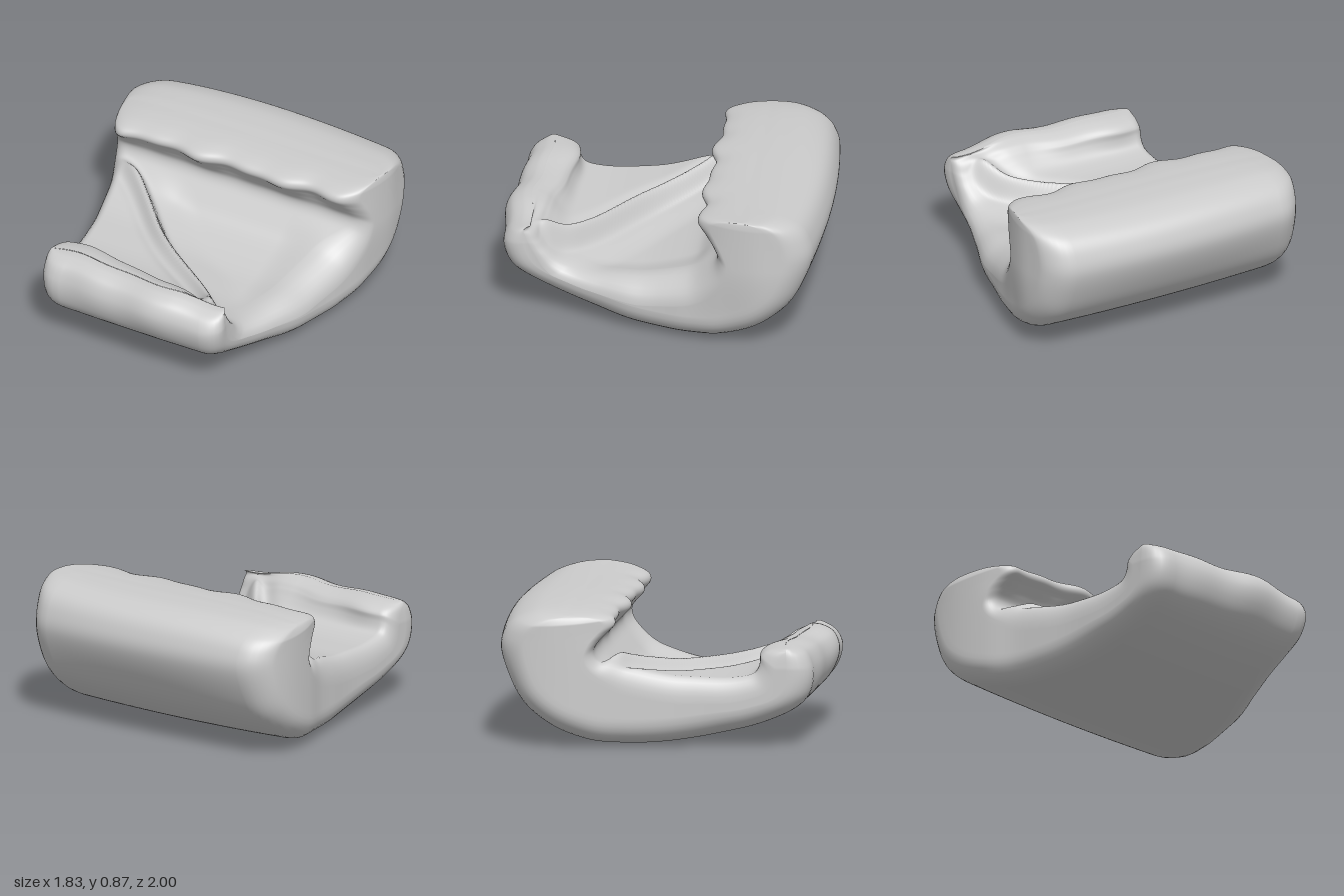
import * as THREE from 'three';

// Thick padded sheet curled in a C: paired outer / inner points (z, y) from front lip to back roll
const OUTER = [
  [.82, .622], [.88, .615], [.95, .575], [.985, .49], [.97, .39], [.91, .29], [.79, .2], [.6, .12], [.4, .07],
  [.2, .03], [0, .006], [-.2, .002], [-.4, .025], [-.62, .11], [-.8, .25], [-.92, .42], [-.99, .59],
  [-.975, .71], [-.91, .8], [-.78, .85], [-.62, .862], [-.52, .86],
];
const INNER = [
  [.82, .622], [.78, .61], [.73, .57], [.7, .5], [.67, .43], [.61, .37], [.52, .345], [.4, .335], [.25, .34],
  [.1, .35], [-.05, .38], [-.18, .42], [-.28, .48], [-.35, .54], [-.365, .6], [-.325, .66], [-.265, .72],
  [-.215, .775], [-.23, .82], [-.31, .845], [-.43, .857], [-.52, .86],
];
// Side outlines: half widths at z = -1, -0.8 ... 1
const RIGHT_EDGE = [.89, .915, .915, .88, .815, .775, .74, .72, .705, .7, .7];
const LEFT_EDGE = [.88, .9, .915, .88, .815, .76, .715, .64, .575, .555, .6];

const { smoothstep, clamp, lerp } = THREE.MathUtils;
const bump = (d, w) => Math.exp(-(d * d) / (w * w));

function spline(points) {
  return new THREE.SplineCurve(points.map(p => new THREE.Vector2(p[0], p[1])));
}

function edgeCurve(values) {
  const curve = spline(values.map((v, i) => [i, v]));
  return z => curve.getPoint(clamp((z + 1) / 2, 0, 1)).y;
}

// One trip round the cross-section: outer face, left wall, inner face, right wall.
// s = place across, inset / drop = corner rounding as a share of the radius, wall = share of the way up a side
function sectionLoop(flat, arc, walls) {
  const loop = [];
  for (const face of [0, 1]) {
    const dir = face ? -1 : 1;
    const corner = (side, k) => {
      const a = (k / arc) * Math.PI / 2;
      loop.push({ face, s: side, inset: 1 - Math.sin(a), drop: 1 - Math.cos(a) });
    };
    for (let k = arc; k >= 0; k--) corner(-dir, k);
    for (let k = 1; k < flat; k++) loop.push({ face, s: dir * (-1 + 2 * k / flat), inset: 1, drop: 0 });
    for (let k = 0; k <= arc; k++) corner(dir, k);
    for (let k = 1; k < walls; k++) {
      loop.push({ face, s: dir, inset: 0, drop: 1, wall: face ? 1 - k / walls : k / walls });
    }
  }
  return loop;
}

// Diagonal fold, raised flap and soft hollow on the inner floor
function floorRelief(x, y, z) {
  const ax = -.75, az = -.29, dx = 1.2, dz = 1.02, len = Math.hypot(dx, dz);
  const along = ((x - ax) * dx + (z - az) * dz) / len / len;
  const sway = .018 * Math.sin(along * 9 + .6);
  const d = ((z - az) * dx - (x - ax) * dz) / len + sway;   // positive on the flap side
  const zone = smoothstep(z, -.38, -.2) * (1 - smoothstep(y, .42, .64));
  const ends = smoothstep(along, -.12, .06) * (1 - smoothstep(along, .95, 1.08));
  const flap = .09 * smoothstep(d, -.06, .03);
  const crest = ends * (.06 * bump(d, .04) - .02 * bump(d - .085, .04));
  const hollow = -.045 * smoothstep(-d, .02, .3) * (1 - smoothstep(Math.abs(x), .35, .65));
  return zone * (flap + crest + hollow);
}

function paddedSheet() {
  const outer = spline(OUTER), inner = spline(INNER);
  const rightEdge = edgeCurve(RIGHT_EDGE), leftEdge = edgeCurve(LEFT_EDGE);
  const rows = 190, loop = sectionLoop(100, 7, 8), n = loop.length;
  const pos = [], index = [];

  for (let i = 0; i <= rows; i++) {
    const u = i / rows;
    const o = outer.getPoint(u), q = inner.getPoint(u);
    const thick = Math.max(o.distanceTo(q), .001);
    // both lips draw in slightly at their ends
    const round = 1 - Math.sqrt(clamp(Math.min(u, 1 - u) / .14, 0, 1));
    const rightTip = (u < .5 ? .05 : .08) * round, leftTip = .03 * round;
    const back = smoothstep(u, .6, .8), front = 1 - smoothstep(u, .12, .28);
    // the floor rolls over softly into its left side
    const soft = smoothstep(u, .18, .32) * (1 - smoothstep(u, .52, .66));
    const radius = (face, s) => face ? (s > 0 ? .09 + .12 * soft : .07) : .15;
    const depth = (face, s) => Math.min(.5, (radius(face, s) - (s > 0 ? .04 * soft * face : 0)) / thick);

    for (const p of loop) {
      const a = depth(0, p.s), b = depth(1, p.s);
      let t = p.face ? 1 - b * p.drop : a * p.drop;
      if (p.wall !== undefined) t = lerp(a, 1 - b, p.wall);
      let z = lerp(o.x, q.x, t), y = lerp(o.y, q.y, t);
      const lean = .03 * (1 - smoothstep(y, .1, .55)) * smoothstep(-z, .1, .5);
      const right = rightEdge(z) - rightTip, left = leftEdge(z) - leftTip - lean;
      let x = lerp(radius(p.face, -1) - right, left - radius(p.face, 1), (p.s + 1) / 2);
      if (p.s === 1) x = left - radius(p.face, 1) * p.inset;
      if (p.s === -1) x = radius(p.face, -1) * p.inset - right;

      if (p.face && u < .66) {
        y += floorRelief(x, y, z) * (1 - p.drop) * (1 - smoothstep(u, .58, .66));
      }
      // back roll: crowned rear, sloping top, wavy overhanging edge
      const across = Math.abs(x) / .9;
      z += back * .075 * across ** 2 * smoothstep(-z, .5, .95);
      z += back * smoothstep(z, -.5, -.2) * (.016 * Math.sin(x * 12 + 4.4) - .035 - .02 * across ** 4 + .01 * Math.sin(x * 21));
      y -= back * smoothstep(y, .6, .85) * (x < 0 ? .025 * across ** 2 + .025 * across ** 8 : -.012 * across ** 3);
      // underside bows up toward its sides
      y += .022 * across ** 2 * (1 - t) * (1 - smoothstep(y, .1, .4));
      // front lip: gentle waves, thick at the right and narrow at the left
      z += front * (.025 * Math.sin(x * 5.2 + .8) - .015 + .008 * Math.sin(x * 15));
      z += front * t * smoothstep(u, 0, .08) * (.06 * smoothstep(x, .1, .42) - .04 * (1 - smoothstep(x, -.55, .1)));
      y += front * (.006 * Math.sin(x * 11) - .025 * smoothstep(x, .2, .5) * smoothstep(y, .4, .6));
      pos.push(x, Math.max(y, 0), z);
    }
  }
  for (let i = 0; i < rows; i++) {
    for (let j = 0; j < n; j++) {
      const a = i * n + j, b = i * n + (j + 1) % n, c = a + n, d = b + n;
      index.push(a, c, b, b, c, d);
    }
  }
  const geo = new THREE.BufferGeometry();
  geo.setAttribute('position', new THREE.Float32BufferAttribute(pos, 3));
  geo.setIndex(index);
  geo.computeVertexNormals();
  return geo;
}

export function createModel() {
  const group = new THREE.Group();
  group.name = 'curledCushion';
  const material = new THREE.MeshStandardMaterial({ color: 0xcccccc, side: THREE.DoubleSide });
  const cushion = new THREE.Mesh(paddedSheet(), material);
  cushion.name = 'foldedPaddedSheet';
  group.add(cushion);
  return group;
}
